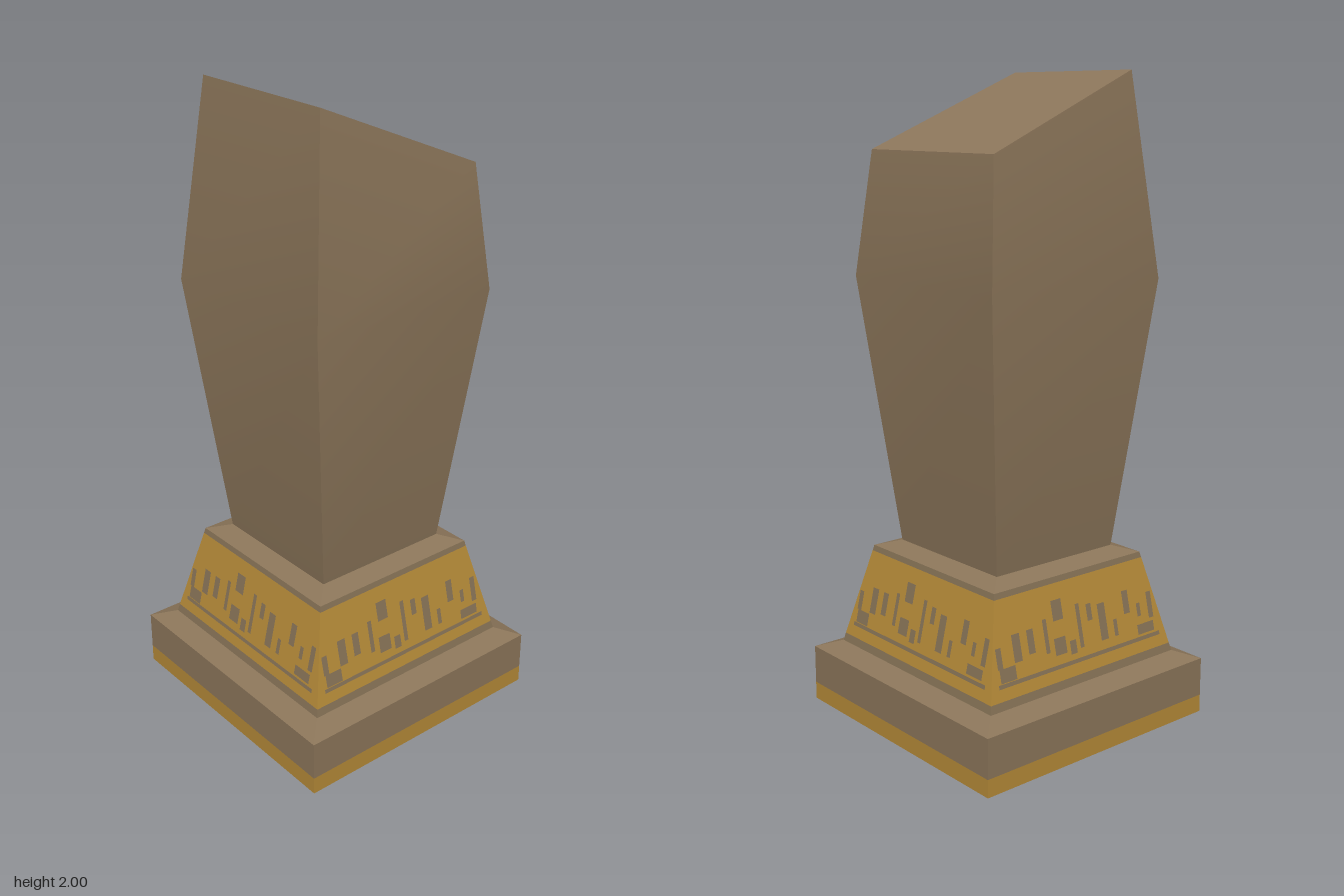
import * as THREE from 'three';
import { mergeGeometries } from 'three/addons/utils/BufferGeometryUtils.js';

const mat = (name, color) => {
  const m = new THREE.MeshStandardMaterial({ color, side: THREE.DoubleSide });
  m.name = name;
  return m;
};

const CORNERS = [[-1, 1], [1, 1], [1, -1], [-1, -1]];

// One face strip through rows of left/right points, smooth from row to row
function strip(rows) {
  const index = [];
  for (let i = 0; i < rows.length - 1; i++) {
    const a = i * 2;
    index.push(a, a + 1, a + 3, a, a + 3, a + 2);
  }
  const g = new THREE.BufferGeometry();
  g.setAttribute('position', new THREE.Float32BufferAttribute(rows.flat(2), 3));
  g.setIndex(index);
  g.computeVertexNormals();
  return g;
}

// Four-sided open shell; a level is [half width, height], or a function of the x side
function shell(levels) {
  const point = (level, [sx, sz]) => {
    const [h, y] = typeof level === 'function' ? level(sx) : level;
    return [sx * h, y, sz * h];
  };
  return mergeGeometries(CORNERS.map((c, i) =>
    strip(levels.map(l => [point(l, c), point(l, CORNERS[(i + 1) % 4])]))));
}

export function createModel() {
  const stone = mat('stone', 0x8c765a);
  const gold = mat('gold', 0xb58a38);
  const worn = mat('wornStone', 0x857155);

  const model = new THREE.Group();
  model.name = 'monument';
  const add = (name, geometry, material) => {
    const mesh = new THREE.Mesh(geometry, material);
    mesh.name = name;
    model.add(mesh);
  };

  // Half width of the sloping plinth at a height
  const plinth = y => 0.373 - (y - 0.205) * (0.076 / 0.325);
  const band = (y0, y1) => shell([[plinth(y0), y0], [plinth(y1), y1]]);

  // Base slab with a gilded foot
  add('baseGoldTrim', shell([[0.44, 0], [0.44, 0.056]]), gold);
  add('baseSlab', shell([[0.44, 0.056], [0.44, 0.18]]), stone);
  add('baseLedge', shell([[0.44, 0.18], [0.373, 0.205]]), stone);

  // Gilded plinth between two stone borders
  add('plinthLowerBorder', band(0.205, 0.23), worn);
  add('plinthGoldPanel', band(0.23, 0.512), gold);
  add('plinthUpperBorder', band(0.512, 0.53), worn);
  add('plinthLedge', shell([[0.297, 0.53], [0.233, 0.55]]), stone);

  // Patches where the gilding has worn away: x, y, width, height
  const patches = [
    [0, 0.272, 0.66, 0.012], [-0.29, 0.3, 0.06, 0.04], [-0.315, 0.35, 0.02, 0.06],
    [-0.245, 0.365, 0.03, 0.08], [-0.19, 0.37, 0.025, 0.07], [-0.13, 0.37, 0.015, 0.1],
    [-0.075, 0.435, 0.04, 0.06], [-0.08, 0.33, 0.045, 0.05], [-0.03, 0.315, 0.025, 0.04],
    [0.005, 0.37, 0.015, 0.13], [0.05, 0.4, 0.02, 0.05], [0.1, 0.36, 0.03, 0.11],
    [0.15, 0.33, 0.015, 0.05], [0.205, 0.395, 0.025, 0.07], [0.255, 0.36, 0.015, 0.04],
    [0.275, 0.3, 0.07, 0.03], [0.305, 0.365, 0.02, 0.08],
  ];
  const plates = [];
  for (let side = 0; side < 4; side++) {
    for (const offset of [0.002, -0.002]) { // outer and inner skin
      for (const [x, y, w, h] of patches) {
        const row = py => [-1, 1].map(s => [x + s * w / 2, py, plinth(py) + offset]);
        plates.push(strip([row(y - h / 2), row(y + h / 2)]).rotateY(side * Math.PI / 2));
      }
    }
  }
  add('wornPatches', mergeGeometries(plates), worn);

  // Shaft swelling upward, cut off by a slanted top
  const crown = sx => (sx < 0 ? [0.26, 2] : [0.2845, 1.77]);
  add('shaft', shell([[0.233, 0.55], [0.325, 1.39], crown]), stone);
  const edge = sz => [-1, 1].map(sx => {
    const [h, y] = crown(sx);
    return [sx * h, y, sz * h];
  });
  add('slantedTop', strip([edge(1), edge(-1)]), stone);

  return model;
}
